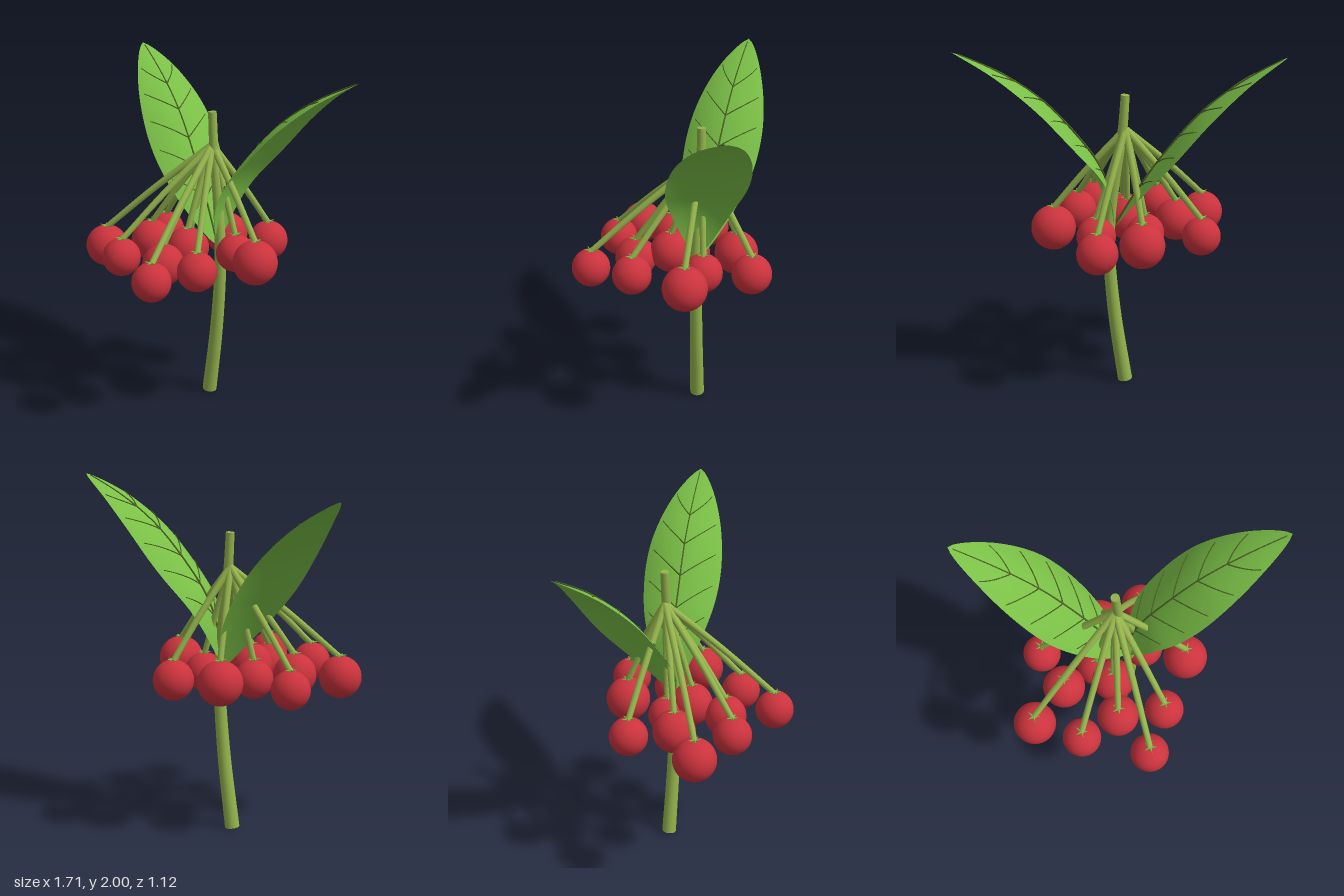
import * as THREE from 'three';

const V = (x, y, z) => new THREE.Vector3(x, y, z);
const UP = V(0, 1, 0);

const stemMat = new THREE.MeshStandardMaterial({ color: 0x94b44c });
const berryMat = new THREE.MeshStandardMaterial({ color: 0xcb333d });
const leafMat = new THREE.MeshStandardMaterial({ color: 0x7abf46, side: THREE.DoubleSide });
const veinMat = new THREE.MeshStandardMaterial({ color: 0x4c6424 });
stemMat.name = 'stem green';
berryMat.name = 'berry red';
leafMat.name = 'leaf green';
veinMat.name = 'vein dark green';

function addMesh(parent, name, geometry, material) {
  const mesh = new THREE.Mesh(geometry, material);
  mesh.name = name;
  parent.add(mesh);
  return mesh;
}

// Tube along a smooth curve, tapering from r0 to r1, with flat end caps
function taperedTube(parent, name, points, r0, r1, segments, sides, material) {
  const curve = new THREE.CatmullRomCurve3(points);
  const geometry = new THREE.TubeGeometry(curve, segments, 1, sides);
  const pos = geometry.attributes.position;
  const p = V(0, 0, 0);
  for (let i = 0; i <= segments; i++) {
    const center = curve.getPointAt(i / segments);
    const radius = THREE.MathUtils.lerp(r0, r1, i / segments);
    for (let j = 0; j <= sides; j++) {
      const k = i * (sides + 1) + j;
      p.fromBufferAttribute(pos, k).sub(center).multiplyScalar(radius).add(center);
      pos.setXYZ(k, p.x, p.y, p.z);
    }
  }
  addMesh(parent, name, geometry, material);
  [[0, r0, -1], [1, r1, 1]].forEach(([t, r, sign]) => {
    const cap = addMesh(parent, name + 'End', new THREE.CircleGeometry(r, sides), material);
    cap.position.copy(curve.getPointAt(t));
    cap.quaternion.setFromUnitVectors(V(0, 0, 1), curve.getTangentAt(t).multiplyScalar(sign));
  });
}

// Leaf with drooping edges around a curved midrib, with veins on its upper face
function makeLeaf(name, ribPoints) {
  const leaf = new THREE.Group();
  leaf.name = name;
  const rib = new THREE.CatmullRomCurve3(ribPoints);
  const along = ribPoints[ribPoints.length - 1].clone().sub(ribPoints[0]).setY(0).normalize();
  const across = V(0, 0, 0).crossVectors(along, UP);
  const halfWidth = 0.22;

  // u runs base to tip, v runs edge to edge (-1..1)
  const surface = (u, v, lift = 0) => {
    const t = v * halfWidth * Math.max(0, Math.sin(Math.PI * u)) ** 0.75;
    const normal = V(0, 0, 0).crossVectors(across, rib.getTangentAt(u)).normalize();
    const droop = 0.06 * (t / halfWidth) ** 2;
    return rib.getPointAt(u).addScaledVector(across, t).addScaledVector(normal, lift - droop);
  };

  const blade = new THREE.PlaneGeometry(1, 1, 20, 60);
  const uv = blade.attributes.uv;
  for (let i = 0; i < uv.count; i++) {
    const p = surface(uv.getY(i), uv.getX(i) * 2 - 1);
    blade.attributes.position.setXYZ(i, p.x, p.y, p.z);
  }
  blade.computeVertexNormals();
  addMesh(leaf, 'leafBlade', blade, leafMat);

  const vein = (veinName, path, r0, r1) => {
    const points = [];
    for (let i = 0; i <= 10; i++) points.push(path(i / 10));
    taperedTube(leaf, veinName, points, r0, r1, 20, 6, veinMat);
  };
  vein('midrib', (k) => surface(0.03 + 0.95 * k, 0, 0.0075 - 0.003 * k), 0.006, 0.003);
  for (let i = 0; i < 5; i++) {
    const u = 0.2 + i * 0.135;
    for (const side of [-1, 1]) {
      vein('sideVein', (k) => surface(u + 0.11 * k, side * 0.85 * k, 0.0045), 0.0035, 0.0025);
    }
  }
  return leaf;
}

export function createModel() {
  const model = new THREE.Group();
  model.name = 'berrySprig';

  // Main stem
  taperedTube(model, 'mainStem', [
    V(-0.02, 0.006, -0.13), V(0.04, 0.43, -0.13), V(0.07, 0.81, -0.13), V(0.065, 1.0, -0.13),
    V(0.035, 1.25, -0.135), V(-0.005, 1.52, -0.14), V(-0.02, 1.72, -0.14),
  ], 0.042, 0.024, 40, 16, stemMat);

  // Berries: x, y, z, radius
  const berries = [
    [-0.47, 0.9, 0.28, 0.12], [-0.31, 0.93, 0.07, 0.12], [-0.2, 0.93, 0.37, 0.108],
    [0, 0.91, 0.23, 0.118], [0.18, 0.92, 0.45, 0.108], [0.26, 0.94, 0.2, 0.11],
    [-0.03, 0.95, 0.03, 0.12], [0.38, 0.95, -0.115, 0.125], [0.125, 0.93, -0.45, 0.113],
    [-0.115, 0.93, -0.335, 0.125], [-0.13, 0.9, -0.07, 0.11], [0.14, 0.92, -0.18, 0.11],
    [-0.445, 0.91, -0.14, 0.108],
  ];
  const apex = V(-0.02, 1.53, -0.14);
  for (const [x, y, z, r] of berries) {
    const group = new THREE.Group();
    group.name = 'berryOnStalk';
    addMesh(group, 'berry', new THREE.SphereGeometry(r, 32, 20), berryMat).position.set(x, y, z);
    const top = V(x, y + r - 0.01, z);
    const middle = apex.clone().lerp(top, 0.55).add(V(0, 0.012, 0));
    taperedTube(group, 'stalk', [apex, middle, top], 0.02, 0.017, 10, 10, stemMat);

    // Tiny sepals around the stalk
    for (let i = 0; i < 5; i++) {
      const a = (i / 5) * Math.PI * 2;
      const dir = V(Math.cos(a), 0.2, Math.sin(a)).normalize();
      const sepal = addMesh(group, 'sepal', new THREE.ConeGeometry(0.008, 0.036, 6), leafMat);
      sepal.position.set(x, y + r, z).addScaledVector(dir, 0.022);
      sepal.quaternion.setFromUnitVectors(UP, dir);
    }
    model.add(group);
  }

  // Leaves
  model.add(makeLeaf('leftLeaf', [
    V(0.045, 0.97, -0.135), V(0.08, 1.2, -0.15), V(0.13, 1.34, -0.165), V(0.22, 1.48, -0.19),
    V(0.42, 1.72, -0.25), V(0.63, 1.88, -0.31), V(0.855, 2.0, -0.375),
  ]));
  model.add(makeLeaf('rightLeaf', [
    V(0.04, 0.95, -0.13), V(-0.07, 1.15, -0.15), V(-0.21, 1.37, -0.18),
    V(-0.42, 1.64, -0.22), V(-0.63, 1.82, -0.255), V(-0.855, 1.96, -0.295),
  ]));
  return model;
}
